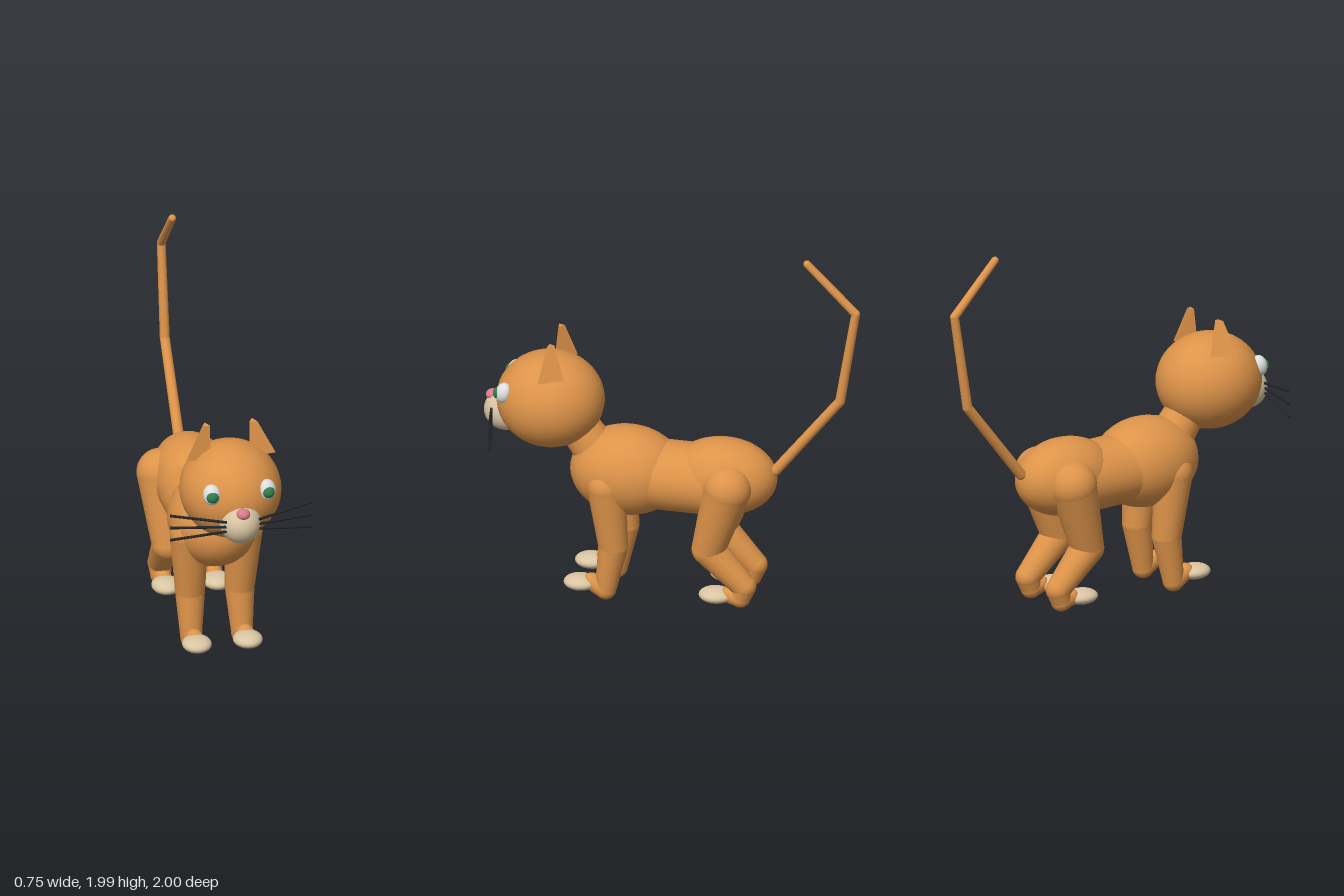
import * as THREE from 'three';

const mat = (name, color) => {
  const m = new THREE.MeshStandardMaterial({ color });
  m.name = name;
  return m;
};

export function createModel() {
  const cat = new THREE.Group();
  cat.name = 'cat';
  const fur = mat('orangeFur', 0xdd9349);
  const cream = mat('cream', 0xd9c5a3);
  const white = mat('eyeWhite', 0xdedede);
  const green = mat('irisGreen', 0x2f7d48);
  const pink = mat('nosePink', 0xd97c8c);
  const black = mat('whiskerBlack', 0x222428);

  const add = (parent, name, geo, material) => {
    const mesh = new THREE.Mesh(geo, material);
    mesh.name = name;
    parent.add(mesh);
    return mesh;
  };
  const ball = (parent, name, [x, y, z], [rx, ry, rz], material) => {
    const m = add(parent, name, new THREE.SphereGeometry(1, 32, 22), material);
    m.position.set(x, y, z);
    m.scale.set(rx, ry, rz);
    return m;
  };
  // Tapered rod from a to b
  const rod = (parent, name, a, b, ra, rb, material, sides = 24) => {
    const p = new THREE.Vector3(...a), q = new THREE.Vector3(...b);
    const d = q.clone().sub(p);
    const m = add(parent, name, new THREE.CylinderGeometry(rb, ra, d.length(), sides), material);
    m.position.copy(p).add(q).multiplyScalar(0.5);
    m.quaternion.setFromUnitVectors(new THREE.Vector3(0, 1, 0), d.normalize());
    return m;
  };
  // Chain of rods with round joints; each joint is [x, y, z, radius]
  const limb = (parent, name, joints) => {
    joints.forEach((j, i) => {
      ball(parent, name + 'Joint', j, [j[3], j[3], j[3]], fur);
      const k = joints[i + 1];
      if (k) rod(parent, name + 'Segment', j.slice(0, 3), k.slice(0, 3), j[3], k[3], fur);
    });
  };

  // Body
  ball(cat, 'chest', [0, 0.698, 0.24], [0.235, 0.238, 0.3], fur);
  ball(cat, 'hips', [0, 0.715, -0.27], [0.2, 0.205, 0.285], fur);
  const waist = rod(cat, 'waist', [0, 0.69, 0.14], [0, 0.685, -0.2], 1, 1, fur, 36);
  waist.scale.set(0.2, 1, 0.182);
  ball(cat, 'bellyPatch', [0, 0.56, 0.045], [0.06, 0.065, 0.06], white);
  rod(cat, 'neck', [0, 0.733, 0.36], [0, 1.0, 0.56], 0.12, 0.1, fur);

  // Head
  const head = new THREE.Group();
  head.name = 'head';
  cat.add(head);
  ball(head, 'skull', [0, 1.065, 0.648], [0.265, 0.255, 0.283], fur);
  ball(head, 'muzzle', [0, 0.977, 0.88], [0.108, 0.11, 0.12], cream);
  ball(head, 'nose', [0, 1.055, 0.955], [0.036, 0.029, 0.036], pink);

  // Three-sided ear, lofted from a base triangle to a small tip triangle
  const earGeometry = (s) => {
    const base = [[0.103, 1.235, 0.65], [0.238, 1.25, 0.665], [0.165, 1.25, 0.54]];
    const tip = [[0.105, 1.425, 0.63], [0.147, 1.425, 0.635], [0.125, 1.43, 0.6]];
    const pos = [];
    const tri = (a, b, c) => (s > 0 ? [a, b, c] : [a, c, b])
      .forEach(([x, y, z]) => pos.push(s * x, y, z));
    for (let i = 0; i < 3; i++) {
      const j = (i + 1) % 3;
      tri(base[i], base[j], tip[j]);
      tri(base[i], tip[j], tip[i]);
    }
    tri(...tip);
    tri(base[0], base[2], base[1]);
    const g = new THREE.BufferGeometry();
    g.setAttribute('position', new THREE.Float32BufferAttribute(pos, 3));
    g.computeVertexNormals();
    return g;
  };

  for (const s of [1, -1]) {
    const side = s > 0 ? 'left' : 'right';
    add(head, side + 'Ear', earGeometry(s), fur);

    // Eyes, turned a little outward
    const eye = ball(head, side + 'Eye', [s * 0.147, 1.14, 0.865], [0.047, 0.055, 0.042], white);
    eye.rotation.set(-0.25, s * 0.45, 0);
    ball(head, side + 'Iris', [s * 0.148, 1.137, 0.888], [0.033, 0.033, 0.033], green);

    // Whiskers
    for (const k of [-1, 0, 1])
      rod(head, side + 'Whisker', [s * 0.085, 0.985 + k * 0.026, 0.943],
        [s * 0.375, 0.985 + k * 0.07, 0.89], 0.007, 0.007, black, 10);

    // Front leg
    const front = new THREE.Group();
    front.name = side + 'FrontLeg';
    cat.add(front);
    limb(front, 'frontLeg', [
      [s * 0.143, 0.66, 0.32, 0.102], [s * 0.132, 0.315, 0.285, 0.078],
      [s * 0.135, 0.065, 0.325, 0.056], [s * 0.135, 0.1, 0.4, 0.046],
    ]);
    ball(front, 'frontPaw', [s * 0.135, 0.093, 0.46], [0.077, 0.04, 0.087], cream);

    // Hind leg
    const hind = new THREE.Group();
    hind.name = side + 'HindLeg';
    cat.add(hind);
    limb(hind, 'hindLeg', [
      [s * 0.15, 0.715, -0.325, 0.126], [s * 0.132, 0.35, -0.22, 0.088],
      [s * 0.135, 0.155, -0.41, 0.064], [s * 0.135, 0.09, -0.39, 0.054],
      [s * 0.135, 0.1, -0.33, 0.045],
    ]);
    ball(hind, 'hindPaw', [s * 0.135, 0.093, -0.26], [0.077, 0.04, 0.09], cream);
  }

  // Tail
  const tail = new THREE.Group();
  tail.name = 'tail';
  cat.add(tail);
  limb(tail, 'tail', [
    [0, 0.775, -0.55, 0.028], [0, 1.205, -0.89, 0.026],
    [0, 1.715, -0.973, 0.023], [0, 1.975, -0.715, 0.02],
  ]);
  return cat;
}
